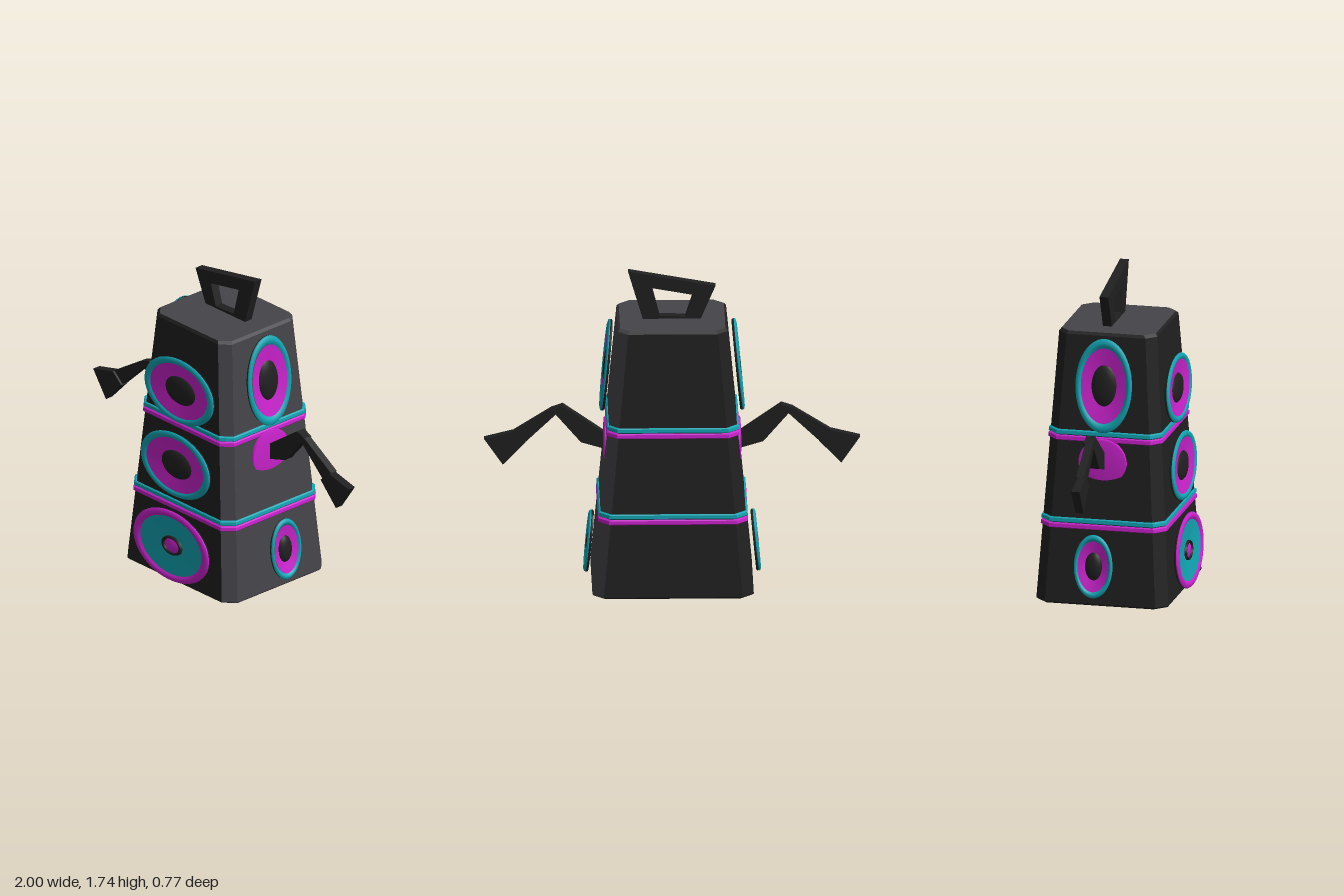
import * as THREE from 'three';

const mat = (name, color) => {
  const m = new THREE.MeshStandardMaterial({ color });
  m.name = name;
  return m;
};

export function createModel() {
  const dark = mat('charcoal', 0x202021);
  const grey = mat('slate grey', 0x454449);
  const pink = mat('magenta', 0xc922cc);
  const teal = mat('teal', 0x12a5b3);
  const model = new THREE.Group();
  model.name = 'speakerTower';

  const add = (parent, name, geometry, material) => {
    const mesh = new THREE.Mesh(geometry, material);
    mesh.name = name;
    parent.add(mesh);
    return mesh;
  };

  // Tapering cabinet walls, as functions of height
  const SX = 0.0952, SZ = 0.0646;
  const wallX = (y) => 0.43 - SX * y;
  const wallFront = (y) => 0.345 - SZ * y;
  const wallBack = (y) => -0.38 + SZ * y;

  // Eight-cornered horizontal section, grown outwards by g
  const section = (y, g) => {
    const x = wallX(y) + g, f = wallFront(y) + g, b = wallBack(y) - g;
    const c = 0.06 - 0.005 * y;
    return [[x, f - c], [x, b + c], [x - c, b], [c - x, b],
      [-x, b + c], [-x, f - c], [c - x, f], [x - c, f]].map(([px, pz]) => [px, y, pz]);
  };

  // Skin a stack of sections; accent faces go to the second material
  const loft = (levels, accent = () => false) => {
    const rings = levels.map(([y, g]) => section(y, g));
    const lists = [[], []];
    const tri = (k, ...p) => lists[k].push(...p.flat());
    for (let r = 0; r < rings.length - 1; r++) {
      for (let i = 0; i < 8; i++) {
        const j = (i + 1) % 8, k = accent(i) ? 1 : 0;
        const a = rings[r], b = rings[r + 1];
        tri(k, a[i], a[j], b[j]);
        tri(k, a[i], b[j], b[i]);
      }
    }
    const low = rings[0], top = rings[rings.length - 1];
    for (let i = 1; i < 7; i++) {
      tri(0, low[0], low[i + 1], low[i]);
      tri(accent('top') ? 1 : 0, top[0], top[i], top[i + 1]);
    }
    const geo = new THREE.BufferGeometry();
    geo.setAttribute('position', new THREE.Float32BufferAttribute(lists.flat(), 3));
    geo.addGroup(0, lists[0].length / 3, 0);
    geo.addGroup(lists[0].length / 3, lists[1].length / 3, 1);
    geo.computeVertexNormals();
    return geo;
  };

  // Cabinet: dark shell with a grey top and left wall
  add(model, 'cabinet',
    loft([[0, -0.01], [0.01, 0], [1.455, 0], [1.47, -0.01]], (f) => ['top', 0, 1, 7].includes(f)),
    [dark, grey]);

  // Paired trim bands
  for (const [y, label] of [[0.41, 'lower'], [0.883, 'upper']]) {
    const band = (y0, y1) => loft([[y0, 0.004], [y0 + 0.005, 0.009], [y1 - 0.005, 0.009], [y1, 0.004]]);
    add(model, label + 'PinkBand', band(y, y + 0.028), [pink, pink]);
    add(model, label + 'TealBand', band(y + 0.031, y + 0.058), [teal, teal]);
  }

  // Elliptical speaker facing +z, made of lathed rings in unit radius
  const speaker = (name, rx, ry, rings) => {
    const group = new THREE.Group();
    group.name = name;
    for (const [part, material, profile] of rings) {
      const geo = new THREE.LatheGeometry(profile.map(([r, z]) => new THREE.Vector2(r, z)), 48);
      geo.rotateX(Math.PI / 2);
      geo.scale(rx, ry, 1);
      add(group, part, geo, material);
    }
    model.add(group);
    return group;
  };
  const shell = ['speakerShell', dark, [[0, 0], [0.96, 0], [0.99, 0.004], [0.99, 0.013], [0.9, 0.013]]];
  const rim = (m) => ['rim', m, [[0.98, 0.011], [1, 0.014], [0.98, 0.021], [0.91, 0.026], [0.85, 0.023], [0.79, 0.013]]];
  const standard = (cone, dome) => [shell, rim(teal),
    ['cone', pink, [[cone, 0.019], [dome - 0.02, 0.006]]],
    ['dome', dark, [[dome, 0.006], [dome * 0.9, 0.015], [dome * 0.6, 0.023], [dome * 0.3, 0.026], [0, 0.027]]]];
  const woofer = [shell, rim(pink),
    ['cone', teal, [[0.81, 0.017], [0.24, 0.006]]],
    ['hubRing', dark, [[0.265, 0.006], [0.255, 0.017], [0.23, 0.019], [0.2, 0.017], [0.19, 0.006]]],
    ['hub', pink, [[0.21, 0.008], [0.12, 0.015], [0, 0.018]]]];

  // Front speakers, leaning back with the wall
  const GAP = 0.023;
  for (const [name, y, rx, ry, rings] of [
    ['frontWoofer', 0.218, 0.295, 0.197, woofer],
    ['frontMiddleSpeaker', 0.685, 0.27, 0.179, standard(0.82, 0.43)],
    ['frontTopSpeaker', 1.112, 0.27, 0.18, standard(0.82, 0.43)]]) {
    const s = speaker(name, rx, ry, rings);
    s.position.set(0, y, wallFront(y) + GAP);
    s.rotation.x = -Math.atan(SZ);
  }

  // Flat polygon in x/y given thickness from z0 to z1
  const slab = (points, z0, z1, hole) => {
    const shape = new THREE.Shape(points.map(([x, y]) => new THREE.Vector2(x, y)));
    if (hole) shape.holes.push(new THREE.Path(hole.map(([x, y]) => new THREE.Vector2(x, y))));
    return new THREE.ExtrudeGeometry(shape, { depth: z1 - z0, bevelEnabled: false }).translate(0, 0, z0);
  };

  for (const [side, s] of [['left', 1], ['right', -1]]) {
    // Side speakers
    for (const [name, y, z, rz, ry, rings] of [
      ['TopSpeaker', 1.195, -0.015, 0.155, 0.255, standard(0.8, 0.44)],
      ['BottomSpeaker', 0.22, -0.05, 0.106, 0.172, standard(0.8, 0.44)]]) {
      const sp = speaker(side + name, rz, ry, rings);
      sp.position.set(s * (wallX(y) + GAP), y, z);
      sp.rotation.set(-Math.atan(SX), s * Math.PI / 2, 0, 'YXZ');
    }

    // Shoulder disc partly sunk into the wall
    const disc = new THREE.LatheGeometry([[0.133, 0.3], [0.133, 0.357], [0.125, 0.363], [0.07, 0.367], [0, 0.369]]
      .map(([r, h]) => new THREE.Vector2(r, h)), 40);
    disc.rotateZ(-s * Math.PI / 2);
    disc.translate(0, 0.77, -0.02);
    add(model, side + 'Shoulder', disc, pink);

    // Angular bent arm
    const flip = (pts) => pts.map(([x, y]) => [s * x, y]);
    const arm = new THREE.Group();
    arm.name = side + 'Arm';
    model.add(arm);
    add(arm, 'upperArm', slab(flip([[0.35, 0.735], [0.485, 0.775], [0.64, 0.955], [0.58, 0.98], [0.365, 0.83]]),
      -0.056, -0.006), dark);
    add(arm, 'forearm', slab(flip([[0.6, 0.945], [0.79, 0.765], [0.85, 0.828], [0.64, 0.96], [0.58, 0.98]]),
      -0.045, -0.003), dark);
    add(arm, 'hand', slab(flip([[0.78, 0.77], [0.9, 0.645], [1, 0.79], [0.845, 0.828]]),
      -0.036, 0.009), dark);
  }

  // Slanted carrying handle
  add(model, 'handle', slab([[-0.15, 1.465], [0.155, 1.465], [0.235, 1.735], [-0.23, 1.652]], -0.068, -0.02,
    [[-0.072, 1.482], [-0.11, 1.603], [0.108, 1.642], [0.068, 1.487]]), dark);

  return model;
}
